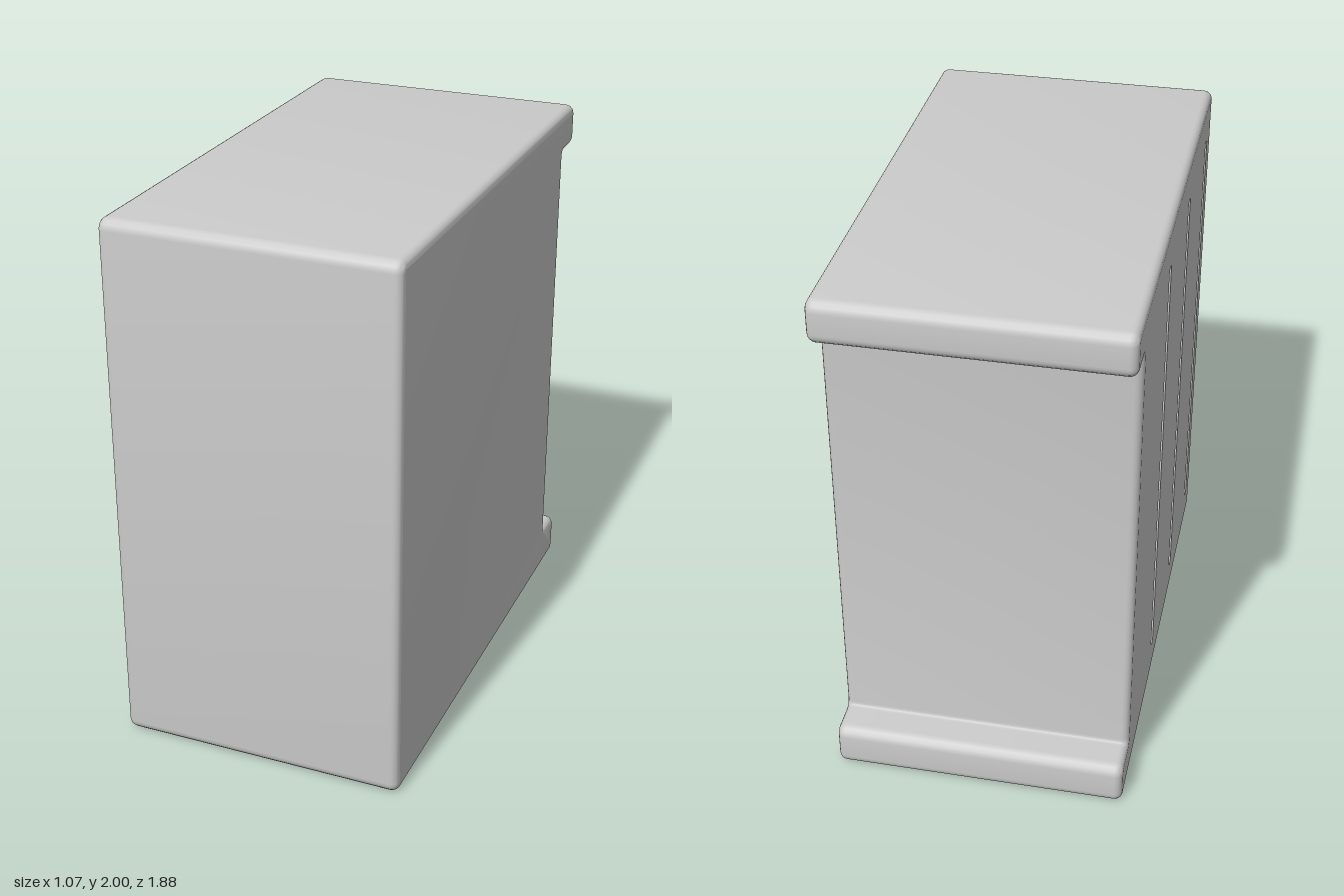
import * as THREE from 'three';
import { toCreasedNormals } from 'three/addons/utils/BufferGeometryUtils.js';

const BEVEL = 0.03, HALF_WIDTH = 0.535, GROOVE_DEPTH = 0.02;

// Closed outline through [z, y, cornerRadius] points, with each corner rounded.
function roundedOutline(points) {
  const shape = new THREE.Shape();
  points.forEach(([x, y, r], i) => {
    const corner = new THREE.Vector2(x, y);
    const towards = ([px, py]) =>
      new THREE.Vector2(px, py).sub(corner).setLength(r).add(corner);
    const start = towards(points[(i + points.length - 1) % points.length]);
    const end = towards(points[(i + 1) % points.length]);
    if (i === 0) shape.moveTo(start.x, start.y);
    else shape.lineTo(start.x, start.y);
    shape.quadraticCurveTo(x, y, end.x, end.y);
  });
  shape.closePath();
  return shape;
}

// Side profile, inset by the bevel: a block with a lip at the top and bottom of the back.
const sideProfile = () => roundedOutline([
  [0.91, 0.03, 0.012], [0.91, 1.97, 0.012],
  [-0.91, 1.97, 0.012], [-0.91, 1.87, 0.012],
  [-0.77, 1.87, 0.045], [-0.77, 0.14, 0.045],
  [-0.91, 0.14, 0.012], [-0.91, 0.03, 0.012],
]);

// Upright slot with round ends.
function slot(z, bottom, top, r) {
  const s = new THREE.Shape();
  s.absarc(z, top - r, r, 0, Math.PI);
  s.absarc(z, bottom + r, r, Math.PI, Math.PI * 2);
  s.closePath();
  return s;
}

// Drops the flat end of the extrusion on the grooved side (-x).
function removeGroovedEnd(geometry) {
  const p = geometry.attributes.position, kept = [];
  for (let i = 0; i < p.count; i += 3) {
    const isEnd = [0, 1, 2].every(k => p.getX(i + k) < -HALF_WIDTH + 1e-4);
    if (isEnd) continue;
    for (let k = 0; k < 3; k++) kept.push(p.getX(i + k), p.getY(i + k), p.getZ(i + k));
  }
  const open = new THREE.BufferGeometry();
  open.setAttribute('position', new THREE.Float32BufferAttribute(kept, 3));
  return open;
}

export function createModel() {
  const model = new THREE.Group();
  model.name = 'casing';
  const material = new THREE.MeshStandardMaterial({ color: 0xcccccc });
  const add = (name, geometry) => {
    const mesh = new THREE.Mesh(geometry, material);
    mesh.name = name;
    model.add(mesh);
  };

  // Main block with rounded edges, extruded across the width
  const depth = 2 * (HALF_WIDTH - BEVEL);
  let body = new THREE.ExtrudeGeometry(sideProfile(), {
    depth, bevelThickness: BEVEL, bevelSize: BEVEL, bevelSegments: 5, curveSegments: 5,
  });
  body.translate(0, 0, -depth / 2).rotateY(-Math.PI / 2);
  add('body', toCreasedNormals(removeGroovedEnd(body), 0.6));

  // Three upright grooves cut into one side
  const grooves = [-0.2, 0.305, 0.8].map(z => slot(z, 0.14, 1.84, 0.023));

  // Side panel pierced by the grooves
  const panelShape = sideProfile();
  panelShape.holes.push(...grooves);
  const panel = new THREE.ExtrudeGeometry(panelShape, {
    depth: GROOVE_DEPTH, bevelEnabled: false, curveSegments: 5,
  });
  panel.translate(0, 0, HALF_WIDTH - GROOVE_DEPTH).rotateY(-Math.PI / 2);
  add('groovedSidePanel', toCreasedNormals(panel, 0.8));

  // Groove floors
  grooves.forEach(shape => {
    const floor = new THREE.ShapeGeometry(shape, 5);
    floor.translate(0, 0, HALF_WIDTH - GROOVE_DEPTH).rotateY(-Math.PI / 2);
    add('grooveFloor', floor);
  });

  return model;
}
